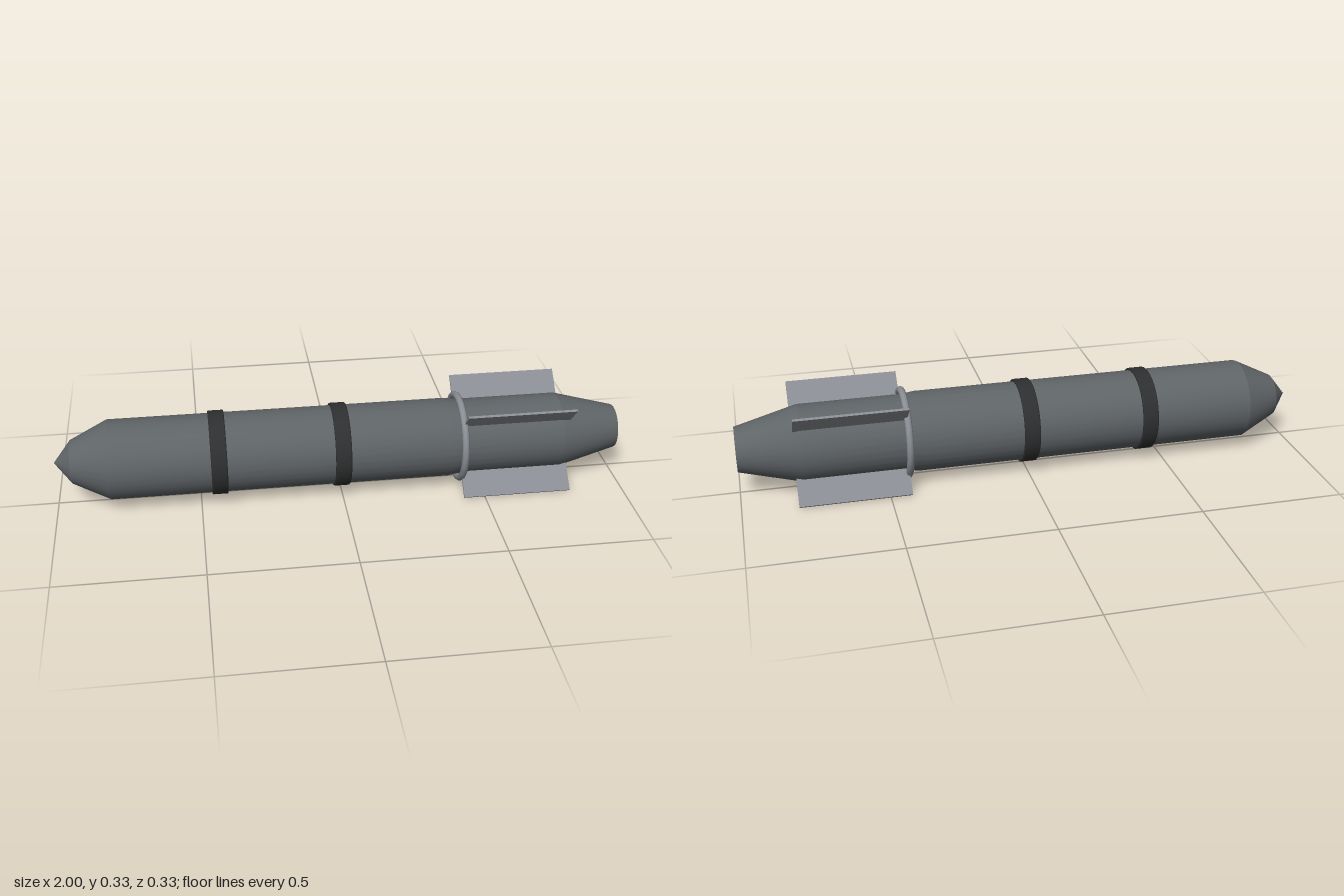
import * as THREE from 'three';
import { toCreasedNormals } from 'three/addons/utils/BufferGeometryUtils.js';

const AXIS_Y = 0.165;

function material(name, color) {
  const m = new THREE.MeshStandardMaterial({ color });
  m.name = name;
  return m;
}

// Revolves [x, radius] pairs around the long x axis, keeping section edges crisp.
function revolve(profile, segments) {
  const points = profile.map(([x, r]) => new THREE.Vector2(r, x));
  const geometry = new THREE.LatheGeometry(points, segments);
  geometry.rotateZ(-Math.PI / 2);
  return toCreasedNormals(geometry, 0.24);
}

export function createModel() {
  const group = new THREE.Group();
  group.name = 'finnedProjectile';
  const hull = material('hull grey', 0x5f6467);
  const band = material('band black', 0x2e2f30);
  const fin = material('fin light grey', 0x8a8e94);

  const add = (name, geometry, mat) => {
    const mesh = new THREE.Mesh(geometry, mat);
    mesh.name = name;
    mesh.position.y = AXIS_Y;
    group.add(mesh);
    return mesh;
  };

  // Hull: pointed nose, long barrel, slight neck, tapered tail with flat end
  add('hull', revolve([
    [-1, 0], [-0.94, 0.076], [-0.81, 0.14], [0.38, 0.14], [0.42, 0.134],
    [0.785, 0.134], [1, 0.078], [1, 0],
  ], 32), hull);

  // Two clamp bands with small bevels
  for (const [name, x] of [['frontBand', -0.433], ['middleBand', -0.003]]) {
    add(name, revolve([
      [x - 0.028, 0.137], [x - 0.028, 0.145], [x - 0.025, 0.148],
      [x + 0.025, 0.148], [x + 0.028, 0.145], [x + 0.028, 0.137],
    ], 32), band);
  }

  // Ring in front of the fins
  const ring = new THREE.TorusGeometry(0.15, 0.0125, 10, 24);
  ring.rotateY(Math.PI / 2);
  add('tailRing', ring, fin).position.x = 0.425;

  // Four diagonal tail fins
  for (let i = 0; i < 4; i++) {
    const plate = new THREE.BoxGeometry(0.385, 0.129, 0.008);
    plate.translate(0.6175, 0.1645, 0);
    plate.rotateX(Math.PI / 4 + i * Math.PI / 2);
    add('tailFin' + (i + 1), plate, fin);
  }

  return group;
}
